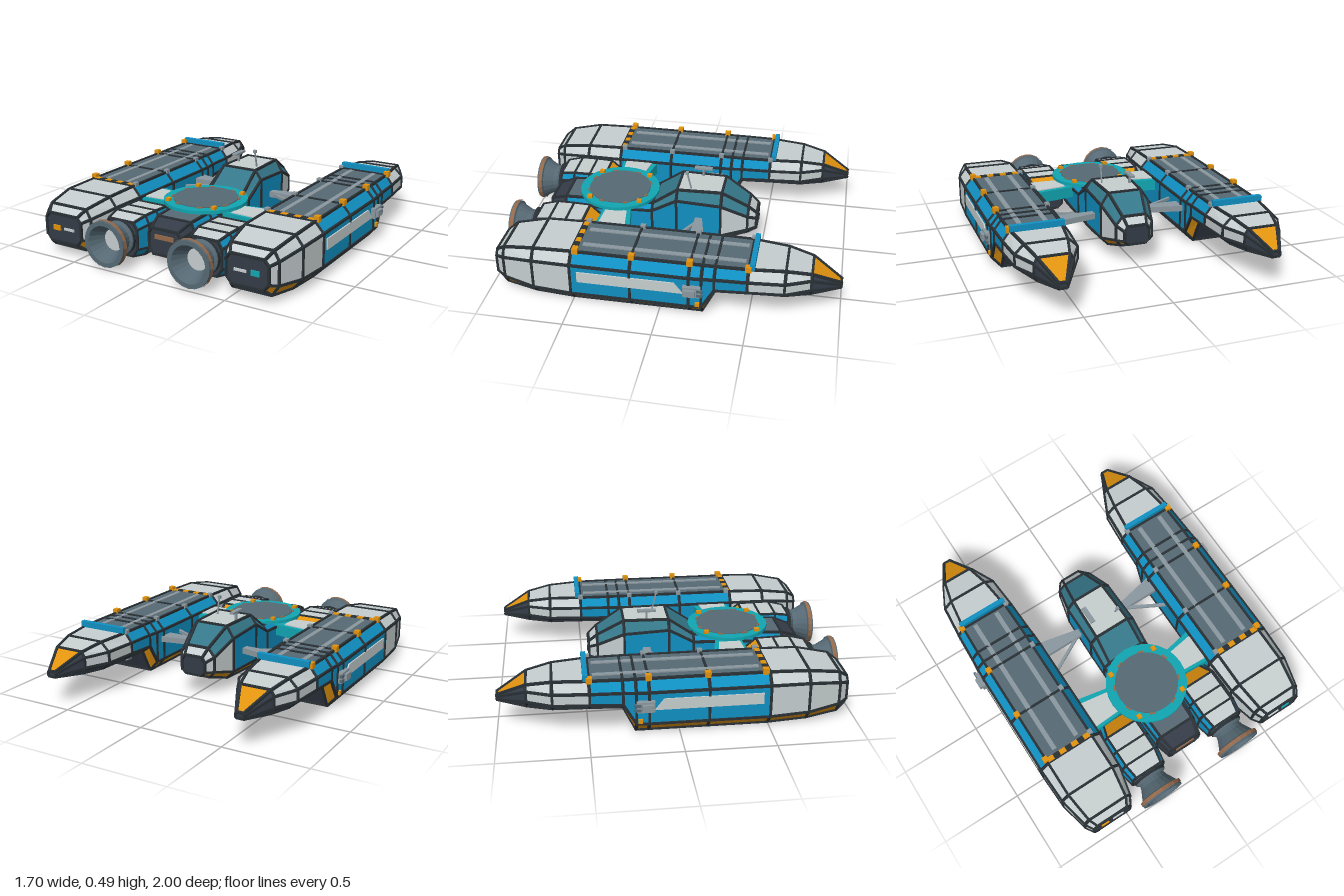
import * as THREE from 'three';
import { mergeGeometries } from 'three/addons/utils/BufferGeometryUtils.js';

const mat = (name, color) => {
  const m = new THREE.MeshStandardMaterial({ color });
  m.name = name;
  return m;
};
const WHITE = mat('white panel', 0xc6cecf), BLUE = mat('blue panel', 0x1090c2), ORANGE = mat('orange', 0xe2930f),
  TRIM = mat('dark trim', 0x293035), HULL = mat('dark hull', 0x353c48), SLATE = mat('slate', 0x566974),
  TEAL = mat('teal', 0x11a6b2), GLASS = mat('glass', 0x35788a), GREY = mat('light grey', 0x8b989f),
  BROWN = mat('copper brown', 0x94694a);

const V = (x, y, z) => new THREE.Vector3(x, y, z);

function add(parent, name, geo, material, x = 0, y = 0, z = 0) {
  const m = new THREE.Mesh(geo, material);
  m.name = name;
  m.position.set(x, y, z);
  parent.add(m);
  return m;
}
const box = (p, name, m, w, h, d, x, y, z) => add(p, name, new THREE.BoxGeometry(w, h, d), m, x, y, z);

function flat(geo) {
  const g = geo.toNonIndexed();
  g.computeVertexNormals();
  return g;
}

// Box bar between two points
function bar(a, b, w, h = w) {
  const d = b.clone().sub(a), len = d.length();
  return new THREE.BoxGeometry(w, h, len + w * 0.5)
    .applyQuaternion(new THREE.Quaternion().setFromUnitVectors(V(0, 0, 1), d.normalize()))
    .translate((a.x + b.x) / 2, (a.y + b.y) / 2, (a.z + b.z) / 2);
}

// Octagonal section [z, half width, top half, bottom half, bottom y, low y, high y, top y]
function ring([z, hw, tw, bw, yb, yl, yu, yt], cx) {
  return [[bw, yb], [hw, yl], [hw, yu], [tw, yt], [-tw, yt], [-hw, yu], [-hw, yl], [-bw, yb]]
    .map(([x, y]) => V(cx + x, y, z));
}

// Panelled hull: colours per segment are [low chamfer, side, high chamfer, top], bottom is dark
function hull(parent, name, sections, cx, colours, trimWidth = 0.014) {
  const rings = sections.map(s => ring(s, cx)), mats = [], buckets = [];
  const tri = (m, ...pts) => {
    let k = mats.indexOf(m);
    if (k < 0) { k = mats.push(m) - 1; buckets.push([]); }
    pts.forEach(p => buckets[k].push(p.x, p.y, p.z));
  };
  const bars = [];
  rings.forEach((r, j) => {
    for (let i = 0; i < 8; i++) {
      const i2 = (i + 1) % 8, n = rings[j + 1];
      bars.push(bar(r[i], r[i2], trimWidth));
      if (!n) continue;
      const c = colours[j], m = [c[0], c[1], c[2], c[3], c[2], c[1], c[0], HULL][i];
      tri(m, r[i], r[i2], n[i2]);
      tri(m, r[i], n[i2], n[i]);
      bars.push(bar(r[i], n[i], trimWidth));
    }
  });
  const first = rings[0], last = rings[rings.length - 1];
  for (let i = 1; i < 7; i++) {
    tri(HULL, first[0], first[i + 1], first[i]);
    tri(HULL, last[0], last[i], last[i + 1]);
  }
  const geo = new THREE.BufferGeometry();
  geo.setAttribute('position', new THREE.Float32BufferAttribute(buckets.flat(), 3));
  let start = 0;
  buckets.forEach((b, k) => { geo.addGroup(start, b.length / 3, k); start += b.length / 3; });
  geo.computeVertexNormals();
  add(parent, name, geo, mats);
  add(parent, name + 'Trim', mergeGeometries(bars), TRIM);
}

// Flat plate outlined in x and z, with its top at y
function plate(parent, name, material, pts, y, h) {
  const shape = new THREE.Shape(pts.map(([x, z]) => new THREE.Vector2(x, z)));
  const geo = new THREE.ExtrudeGeometry(shape, { depth: h, bevelEnabled: false }).rotateX(Math.PI / 2);
  add(parent, name, geo, material, 0, y, 0);
}

function sidePod(s) {
  const g = new THREE.Group(), cx = 0.605 * s;
  g.name = s > 0 ? 'leftPod' : 'rightPod';
  const white = [HULL, WHITE, WHITE, WHITE], blue = [ORANGE, BLUE, BLUE, SLATE], tail = [ORANGE, WHITE, WHITE, WHITE];
  hull(g, 'podHull', [
    [-0.99, 0.025, 0.02, 0.02, 0.175, 0.18, 0.195, 0.205],
    [-0.83, 0.105, 0.088, 0.085, 0.16, 0.195, 0.255, 0.288],
    [-0.69, 0.172, 0.12, 0.12, 0.152, 0.195, 0.26, 0.312],
    [-0.49, 0.188, 0.145, 0.13, 0.152, 0.195, 0.26, 0.318],
    [-0.31, 0.195, 0.15, 0.14, 0.15, 0.19, 0.26, 0.318],
    [-0.24, 0.2, 0.15, 0.145, 0.007, 0.07, 0.258, 0.318],
    [-0.17, 0.203, 0.15, 0.145, 0.007, 0.07, 0.258, 0.318],
    [0.16, 0.203, 0.15, 0.145, 0.007, 0.07, 0.258, 0.318],
    [0.5, 0.203, 0.15, 0.145, 0.007, 0.07, 0.258, 0.318],
    [0.72, 0.195, 0.15, 0.14, 0.018, 0.08, 0.255, 0.313],
    [0.9, 0.155, 0.125, 0.115, 0.04, 0.1, 0.23, 0.283],
    [0.95, 0.125, 0.1, 0.095, 0.08, 0.115, 0.215, 0.245],
  ], cx, [[HULL, HULL, HULL, ORANGE], white, white, [HULL, BLUE, BLUE, SLATE], blue, blue, blue, blue, tail, tail, tail]);
  // Roof rails, front bar and hazard strip
  for (const o of [-0.075, 0.075]) box(g, 'roofRail', GREY, 0.028, 0.008, 0.92, cx + o, 0.321, -0.01);
  box(g, 'roofBar', BLUE, 0.31, 0.036, 0.028, cx, 0.338, -0.51);
  for (let i = 0; i < 7; i++)
    box(g, 'hazardStripe', i % 2 ? TRIM : ORANGE, 0.041, 0.008, 0.03, cx + (i - 3) * 0.041, 0.323, 0.485);
  // Edge lamps along the roof and the lower flank
  for (const z of [0.475, 0.155, -0.17, -0.49]) {
    box(g, 'outerLamp', ORANGE, 0.032, 0.034, 0.034, s * 0.758, 0.328, z);
    box(g, 'innerLamp', GREY, 0.026, 0.024, 0.03, s * 0.452, 0.325, z);
  }
  box(g, 'flankLamp', ORANGE, 0.02, 0.024, 0.024, s * 0.81, 0.09, -0.22);
  // Long flank panel with a slanted end
  const panel = new THREE.Shape([[-0.46, 0.155], [0.14, 0.155], [0.09, 0.22], [-0.46, 0.22]].map(p => new THREE.Vector2(...p)));
  const pg = new THREE.ExtrudeGeometry(panel, { depth: 0.008, bevelEnabled: false }).rotateY(Math.PI / 2);
  add(g, 'flankPanel', pg, WHITE, s > 0 ? 0.808 : -0.816, 0, 0);
  // Steering thruster block
  box(g, 'thrusterBlock', GREY, 0.03, 0.062, 0.1, s * 0.82, 0.182, -0.19);
  box(g, 'thrusterCore', GREY, 0.02, 0.04, 0.06, s * 0.842, 0.182, -0.18);
  for (const y of [0.168, 0.196]) box(g, 'thrusterJet', SLATE, 0.014, 0.016, 0.035, s * 0.832, y, -0.235);
  // Round port on the sloping front face
  const port = flat(new THREE.CylinderGeometry(0.026, 0.032, 0.03, 10).rotateX(-Math.PI / 2));
  add(g, 'frontPort', port, GREY, cx, 0.085, -0.285);
  // Tail lamps
  box(g, 'tailLamp', s > 0 ? TEAL : ORANGE, 0.05, 0.03, 0.008, s * 0.653, 0.163, 0.954);
  box(g, 'tailLamp', WHITE, 0.072, 0.014, 0.008, s * 0.565, 0.163, 0.954);
  return g;
}

function engine(s) {
  const g = new THREE.Group(), cx = 0.278 * s;
  g.name = s > 0 ? 'leftEngine' : 'rightEngine';
  const body = [BLUE, BLUE, BLUE, WHITE];
  hull(g, 'nacelle', [
    [0.46, 0.1, 0.07, 0.07, 0.06, 0.09, 0.18, 0.2],
    [0.55, 0.12, 0.1, 0.085, 0.03, 0.075, 0.21, 0.255],
    [0.65, 0.122, 0.1, 0.085, 0.025, 0.075, 0.21, 0.258],
    [0.75, 0.122, 0.1, 0.085, 0.025, 0.075, 0.21, 0.258],
    [0.84, 0.108, 0.085, 0.075, 0.04, 0.085, 0.2, 0.24],
  ], cx, [[BLUE, BLUE, BLUE, ORANGE], body, body, body], 0.012);
  const profile = [[0.1, 0.835], [0.1, 0.87], [0.084, 0.88], [0.09, 0.905], [0.122, 0.965], [0.134, 0.97],
    [0.134, 1], [0.108, 1], [0.062, 0.91]].map(p => new THREE.Vector2(...p));
  const toBack = geo => flat(geo.rotateX(Math.PI / 2));
  add(g, 'nozzle', toBack(new THREE.LatheGeometry(profile, 20)), SLATE, cx, 0.146, 0);
  add(g, 'nozzleGlow', new THREE.CircleGeometry(0.066, 20), WHITE, cx, 0.146, 0.912);
  add(g, 'nozzleBand', toBack(new THREE.CylinderGeometry(0.138, 0.138, 0.022, 20, 1, true)), BROWN, cx, 0.146, 0.981);
  add(g, 'nozzleCollar', toBack(new THREE.CylinderGeometry(0.104, 0.104, 0.018, 20)), TRIM, cx, 0.146, 0.856);
  return g;
}

function fuselage() {
  const g = new THREE.Group();
  g.name = 'fuselage';
  const rear = [HULL, BLUE, BLUE, SLATE];
  hull(g, 'cabin', [
    [-0.46, 0.075, 0.058, 0.05, 0.13, 0.15, 0.21, 0.24],
    [-0.41, 0.11, 0.07, 0.075, 0.11, 0.145, 0.235, 0.285],
    [-0.25, 0.145, 0.1, 0.1, 0.06, 0.105, 0.31, 0.38],
    [0.02, 0.15, 0.11, 0.11, 0.05, 0.1, 0.325, 0.38],
    [0.17, 0.15, 0.115, 0.11, 0.05, 0.1, 0.24, 0.275],
    [0.55, 0.14, 0.115, 0.11, 0.05, 0.1, 0.22, 0.268],
    [0.72, 0.128, 0.11, 0.1, 0.055, 0.1, 0.215, 0.26],
    [0.815, 0.105, 0.088, 0.08, 0.075, 0.11, 0.195, 0.225],
  ], 0, [[ORANGE, WHITE, WHITE, WHITE], [ORANGE, WHITE, GLASS, GLASS], [ORANGE, BLUE, GLASS, WHITE],
    [ORANGE, BLUE, GLASS, GLASS], rear, rear, [HULL, HULL, HULL, HULL]]);
  box(g, 'tailPlate', BROWN, 0.125, 0.026, 0.008, 0, 0.18, 0.821);
  // Roof aerials
  add(g, 'aerialMast', bar(V(0.075, 0.375, -0.06), V(0.075, 0.48, -0.035), 0.008), GREY);
  box(g, 'aerialTip', GREY, 0.018, 0.018, 0.018, 0.075, 0.482, -0.035);
  box(g, 'scannerMast', GREY, 0.012, 0.06, 0.012, -0.085, 0.405, -0.11);
  box(g, 'scannerBar', GREY, 0.03, 0.012, 0.11, -0.085, 0.433, -0.11);
  return g;
}

function dockingDeck() {
  const g = new THREE.Group();
  g.name = 'dockingDeck';
  const disc = (name, r, h, y, m) => add(g, name, flat(new THREE.CylinderGeometry(r, r, h, 28)), m, 0, y, 0.4);
  disc('deckPedestal', 0.16, 0.08, 0.24, TRIM);
  disc('deckRing', 0.245, 0.02, 0.287, TEAL);
  disc('deckFloor', 0.19, 0.008, 0.298, SLATE);
  // Corner lamps and rim marks
  for (let i = 0; i < 4; i++) {
    const a = Math.PI / 4 + i * Math.PI / 2;
    box(g, 'deckLamp', ORANGE, 0.026, 0.02, 0.03, Math.cos(a) * 0.218, 0.304, 0.4 + Math.sin(a) * 0.218);
  }
  for (let i = 0; i < 8; i++) {
    const a = (i + 0.5) * Math.PI / 4;
    box(g, 'rimMark', BROWN, 0.035, 0.008, 0.01, Math.cos(a) * 0.195, 0.299, 0.4 + Math.sin(a) * 0.195)
      .rotation.y = Math.PI / 2 - a;
  }
  return g;
}

export function createModel() {
  const root = new THREE.Group();
  root.name = 'twinPodSpacecraft';
  root.add(fuselage(), dockingDeck());
  for (const s of [1, -1]) {
    root.add(sidePod(s), engine(s));
    // Rear wing joining the deck and pod
    plate(root, 'rearWing', TEAL, [[0.1, 0.31], [0.41, 0.25], [0.41, 0.475], [0.1, 0.455]].map(([x, z]) => [s * x, z]), 0.25, 0.07);
    plate(root, 'wingPanel', WHITE, [[0.2, 0.315], [0.395, 0.285], [0.395, 0.455], [0.2, 0.445]].map(([x, z]) => [s * x, z]), 0.256, 0.008);
    // Front struts
    plate(root, 'frontStrut', GREY, [[0.13, -0.135], [0.415, -0.195], [0.415, -0.095], [0.13, -0.095]].map(([x, z]) => [s * x, z]), 0.22, 0.035);
    add(root, 'braceRod', bar(V(s * 0.14, 0.2, -0.125), V(s * 0.41, 0.2, 0.02), 0.018), GREY);
  }
  return root;
}
